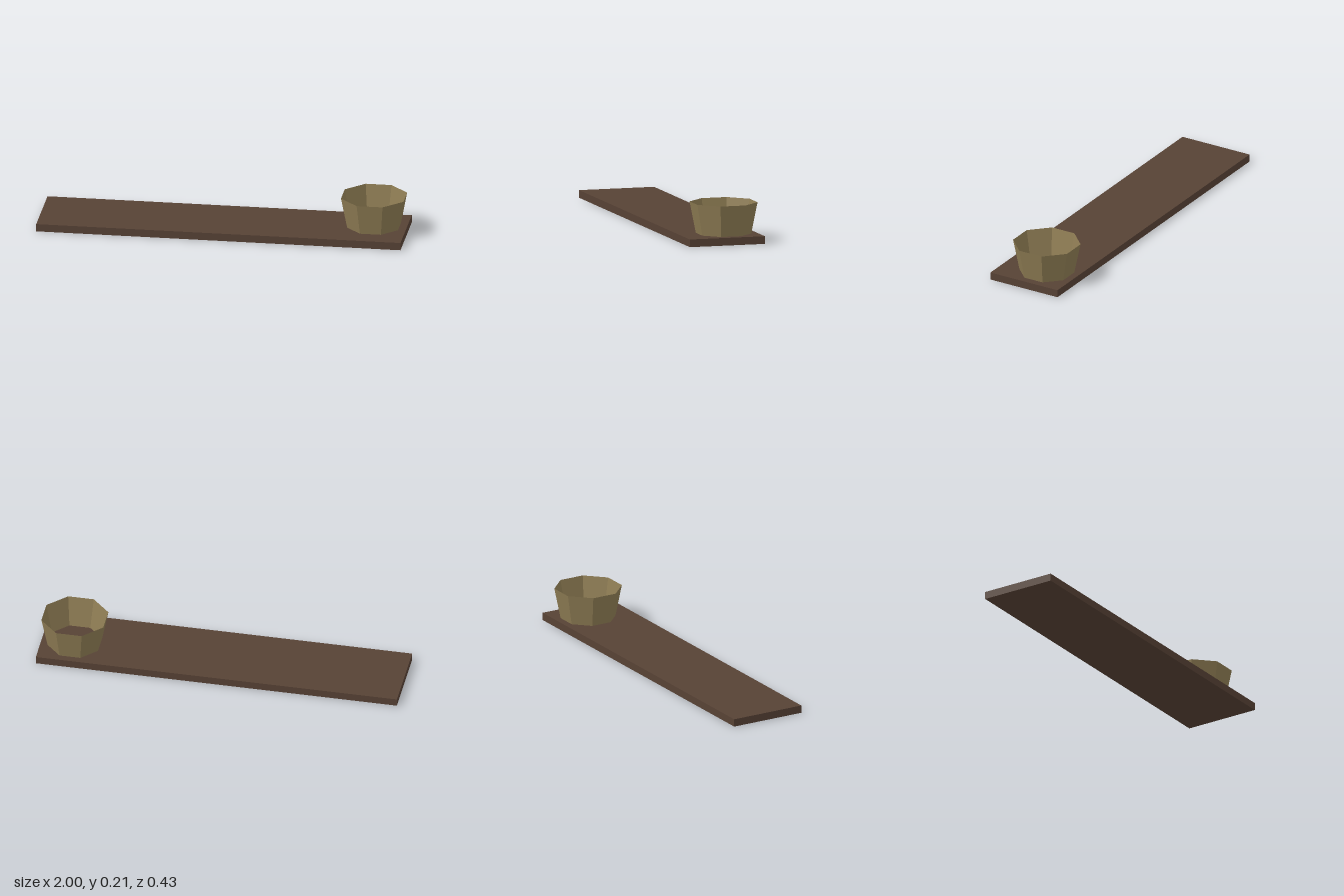
import * as THREE from 'three';

export function createModel() {
  const model = new THREE.Group();
  const wood = new THREE.MeshStandardMaterial({ color: 0x574235, flatShading: true });
  wood.name = 'dark wood';
  const clay = new THREE.MeshStandardMaterial({ color: 0x8f7d54, flatShading: true, side: THREE.DoubleSide });
  clay.name = 'olive clay';

  // Flat plank
  const thickness = 0.042;
  const board = new THREE.Mesh(new THREE.BoxGeometry(2, thickness, 0.427), wood);
  board.name = 'board';
  board.position.y = thickness / 2;
  model.add(board);

  // Thin eight-sided open bowl, sunk through the plank
  const bottom = 0.001, top = 0.214, sides = 8;
  const topRadius = 0.1856, bottomRadius = 0.1428;
  const bowl = new THREE.Group();
  bowl.name = 'bowl';
  bowl.position.set(0.819, 0, -0.035);
  bowl.rotation.y = Math.PI / sides; // flat sides face the axes

  const wall = new THREE.Mesh(
    new THREE.CylinderGeometry(topRadius, bottomRadius, top - bottom, sides, 1, true), clay);
  wall.name = 'bowlWall';
  wall.position.y = (top + bottom) / 2;

  const base = new THREE.Mesh(
    new THREE.CircleGeometry(bottomRadius, sides).rotateX(Math.PI / 2), clay);
  base.name = 'bowlBase';
  base.position.y = bottom;

  bowl.add(wall, base);
  model.add(bowl);
  return model;
}
